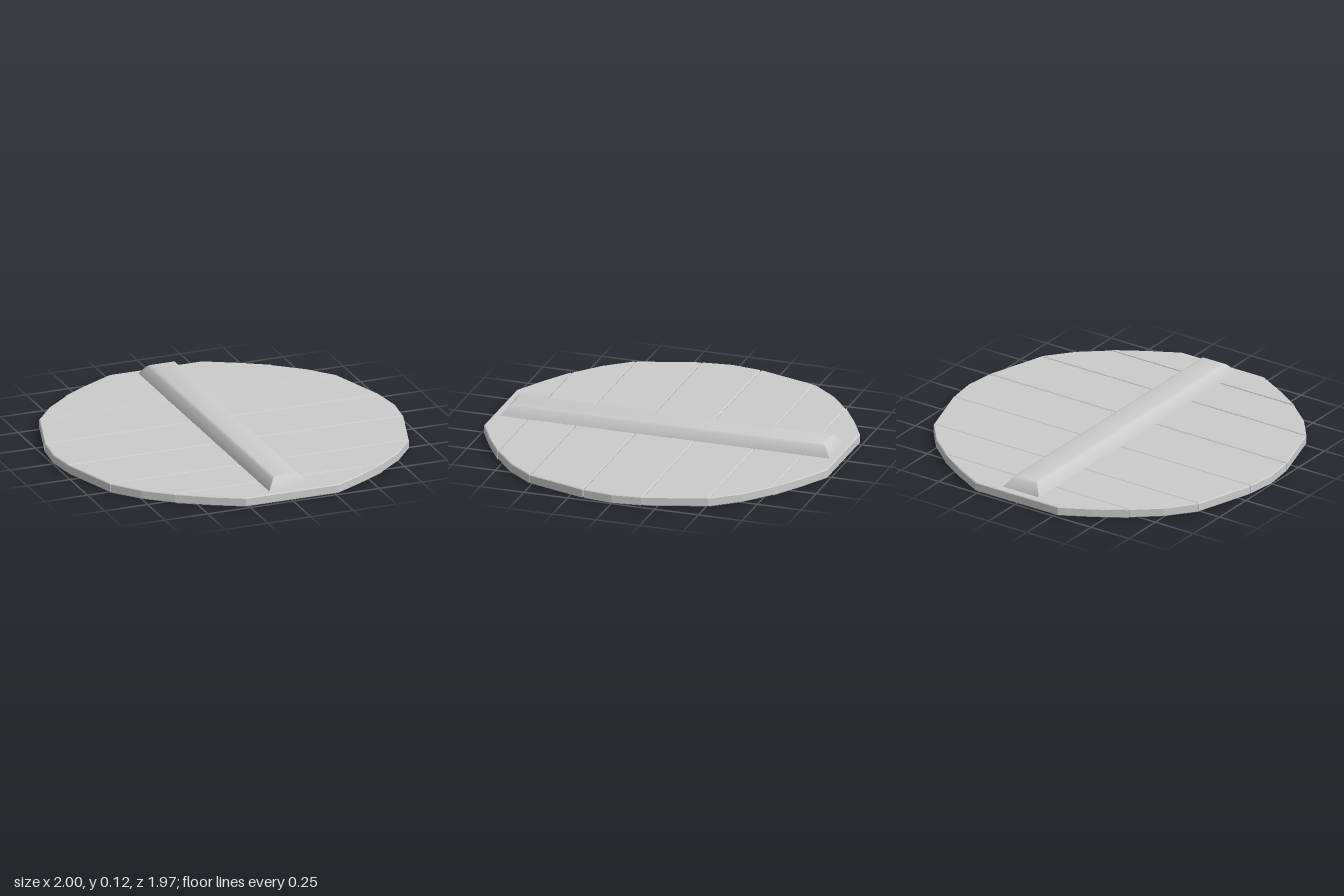
import * as THREE from 'three';
import { toCreasedNormals } from 'three/addons/utils/BufferGeometryUtils.js';

const material = new THREE.MeshStandardMaterial({ color: 0xcccccc });
const THICKNESS = 0.052;
const BEVEL = 0.005;
const GAP = 0.002;

// Right-hand rim of each plank as [half width, z], from front edge to back edge.
const middleRim = [[0.977, 0.17], [0.998, 0], [0.977, -0.17]];
const sideRims = [
  [[0.872, 0.512], [0.977, 0.17]],
  [[0.605, 0.787], [0.75, 0.665], [0.872, 0.512]],
  [[0.27, 0.986], [0.44, 0.893], [0.605, 0.787]],
];

// Plank symmetric in x, with slightly eased edges.
function plankGeometry(rim) {
  const last = rim.length - 1;
  const right = rim.map(([x, z], i) => new THREE.Vector2(
    x, -z + (i === 0 ? GAP : i === last ? -GAP : 0)));
  const left = right.map(p => new THREE.Vector2(-p.x, p.y)).reverse();
  const geometry = new THREE.ExtrudeGeometry(new THREE.Shape([...right, ...left]), {
    depth: THICKNESS - 2 * BEVEL,
    bevelThickness: BEVEL,
    bevelSize: BEVEL,
    bevelOffset: -BEVEL,
    bevelSegments: 1,
  });
  geometry.translate(0, 0, BEVEL);
  geometry.rotateX(-Math.PI / 2);
  return geometry;
}

// Bar with sloped sides and a softly rounded top: a box whose levels shrink upwards.
function battenGeometry() {
  // [half width, y, half length] from bottom to top
  const levels = [
    [0.118, 0.046, 0.944], [0.116, 0.055, 0.942], [0.085, 0.1, 0.909],
    [0.074, 0.111, 0.896], [0.058, 0.116, 0.88],
  ];
  const steps = levels.length - 1;
  const geometry = new THREE.BoxGeometry(2, 1, 2, 1, steps, 1);
  const pos = geometry.attributes.position;
  for (let i = 0; i < pos.count; i++) {
    const [w, y, l] = levels[Math.round((pos.getY(i) + 0.5) * steps)];
    pos.setXYZ(i, pos.getX(i) * w, y, pos.getZ(i) * l);
  }
  return toCreasedNormals(geometry, 0.6);
}

export function createModel() {
  const model = new THREE.Group();
  model.name = 'roundPlankLid';
  const add = (name, geometry) => {
    const mesh = new THREE.Mesh(geometry, material);
    mesh.name = name;
    model.add(mesh);
  };

  // Planks, mirrored front to back
  add('middlePlank', plankGeometry(middleRim));
  sideRims.forEach((rim, i) => {
    add(`frontPlank${i + 1}`, plankGeometry(rim));
    add(`backPlank${i + 1}`, plankGeometry(rim.map(([x, z]) => [x, -z]).reverse()));
  });

  // Cross bar holding the planks together
  add('crossBatten', battenGeometry());
  return model;
}
